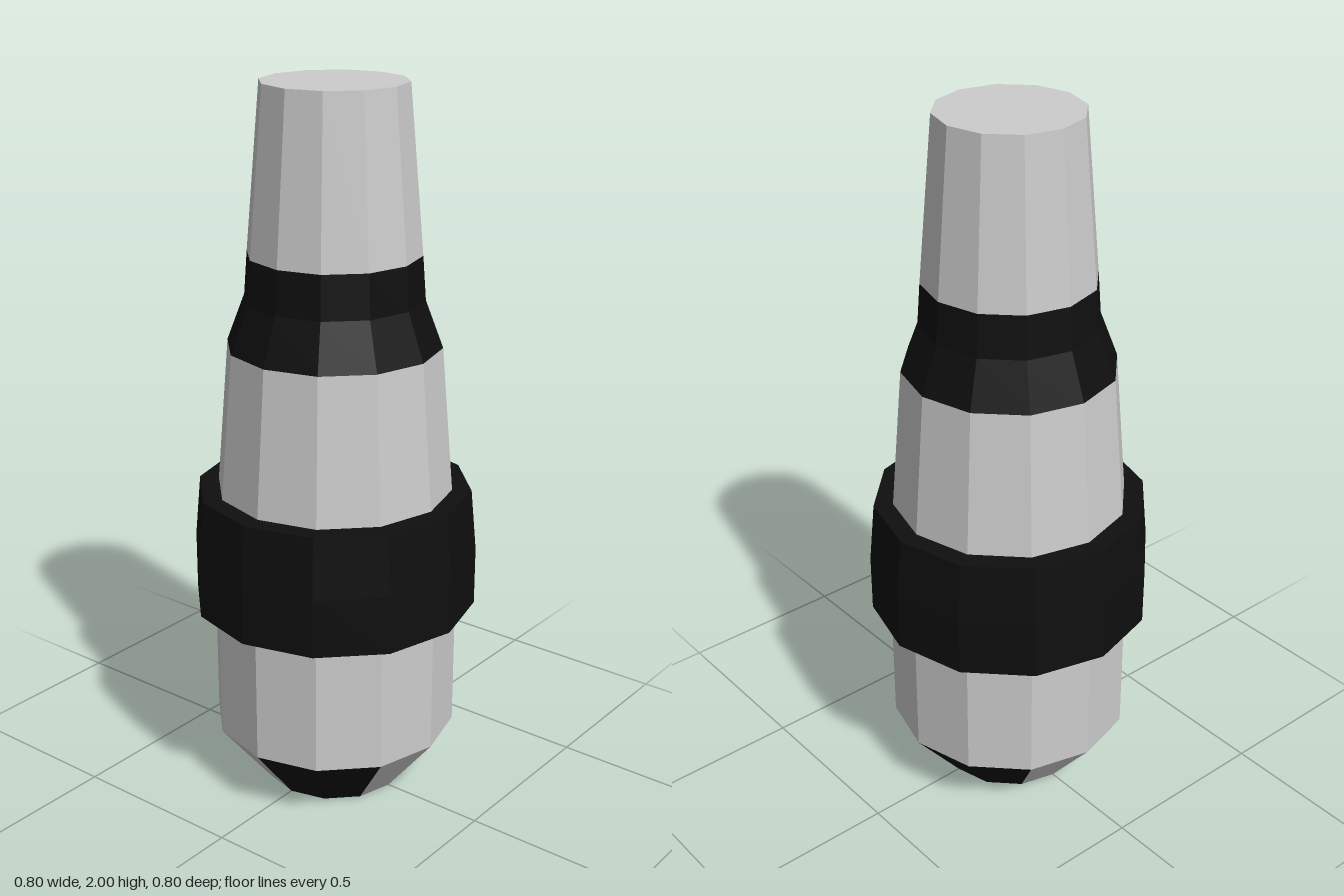
import * as THREE from 'three';

const SIDES = 12;
const STEP = (Math.PI * 2) / SIDES;

export function createModel() {
  const group = new THREE.Group();
  const grey = new THREE.MeshStandardMaterial({ color: 0xcccccc, flatShading: true });
  const black = new THREE.MeshStandardMaterial({ color: 0x0f0f0f, flatShading: true });

  // Turned part from [radius, height] pairs, listed bottom to top
  function turned(name, material, profile, parent = group, firstSide = 0, sides = SIDES) {
    const points = profile.map(([r, y]) => new THREE.Vector2(r, y));
    const geometry = new THREE.LatheGeometry(points, sides, firstSide * STEP, sides * STEP);
    const mesh = new THREE.Mesh(geometry, material);
    mesh.name = name;
    parent.add(mesh);
  }

  // Flat base and chamfered foot: each quarter has two black facets and one grey
  turned('base', grey, [[0, 0], [0.2, 0]]);
  const foot = new THREE.Group();
  foot.name = 'foot';
  group.add(foot);
  const chamfer = [[0.2, 0], [0.345, 0.18]];
  for (let i = 0; i < SIDES; i += 3) {
    turned('footBlackFacets', black, chamfer, foot, i, 2);
    turned('footGreyFacet', grey, chamfer, foot, i + 2, 1);
  }

  // Body sections and the bands between them
  turned('lowerBody', grey, [[0.345, 0.18], [0.345, 0.72]]);
  turned('collar', black, [[0.34, 0.555], [0.398, 0.555], [0.398, 0.72], [0.382, 0.893], [0.32, 0.893]]);
  turned('middleBody', grey, [[0.345, 0.72], [0.328, 0.893], [0.294, 1.3]]);
  turned('shoulderBand', black, [[0.294, 1.3], [0.245, 1.43], [0.236, 1.55]]);
  turned('neck', grey, [[0.236, 1.55], [0.197, 2], [0, 2]]);

  return group;
}
